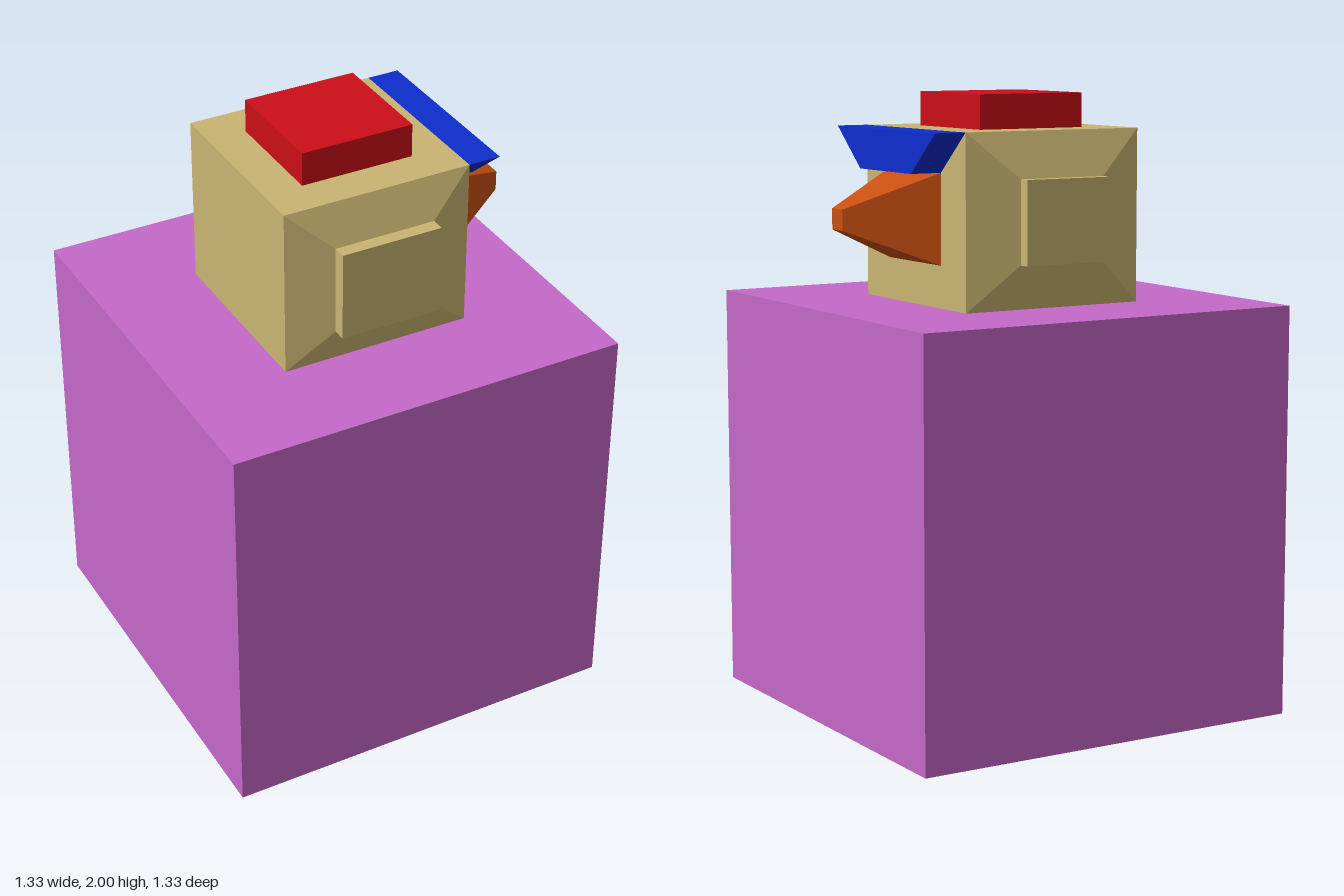
import * as THREE from 'three';

const paint = (color) => new THREE.MeshStandardMaterial({ color, flatShading: true });

function add(parent, name, geometry, material, x = 0, y = 0, z = 0) {
  const mesh = new THREE.Mesh(geometry, material);
  mesh.name = name;
  mesh.position.set(x, y, z);
  parent.add(mesh);
  return mesh;
}

// Box running from z = 0 to z = length, its far end resized to tipW x tipH
function taperedBox(w, h, length, tipW, tipH) {
  const geometry = new THREE.BoxGeometry(w, h, length);
  geometry.translate(0, 0, length / 2);
  const p = geometry.attributes.position;
  for (let i = 0; i < p.count; i++) {
    if (p.getZ(i) > length / 2) {
      p.setXY(i, (Math.sign(p.getX(i)) * tipW) / 2, (Math.sign(p.getY(i)) * tipH) / 2);
    }
  }
  geometry.computeVertexNormals();
  return geometry;
}

export function createModel() {
  const model = new THREE.Group();
  model.name = 'blockBird';
  const purple = paint(0xc468c8);
  const tan = paint(0xc9b471);
  const red = paint(0xcb0e18);
  const blue = paint(0x0e2dce);
  const orange = paint(0xc84f12);

  const bodySize = 1.334;
  const headW = 0.634, headH = 0.556;
  const headY = bodySize + headH / 2;
  const headTop = bodySize + headH;

  // Body and head blocks
  add(model, 'body', new THREE.BoxGeometry(bodySize, bodySize, bodySize), purple, 0, bodySize / 2, 0);
  add(model, 'head', new THREE.BoxGeometry(headW, headH, headW), tan, 0, headY, 0);

  // Bevelled cheeks with a raised pad, the back one slightly smaller
  const cheeks = [
    { name: 'frontCheek', turn: 0, w: 0.338, h: 0.295, rise: 0.048 },
    { name: 'backCheek', turn: Math.PI, w: 0.304, h: 0.266, rise: 0.054 },
  ];
  for (const { name, turn, w, h, rise } of cheeks) {
    const cheek = new THREE.Group();
    cheek.name = name;
    cheek.position.y = headY;
    cheek.rotation.y = turn;
    add(cheek, name + 'Bevel', taperedBox(headW, headH, rise, w, h), tan, 0, 0, headW / 2);
    const padDepth = 0.41 - headW / 2 - rise;
    add(cheek, name + 'Pad', taperedBox(w, h, padDepth, w, h), tan, 0, 0, headW / 2 + rise);
    model.add(cheek);
  }

  // Beak
  const beak = add(model, 'beak', taperedBox(0.33, 0.29, 0.278, 0.068, 0.066), orange, headW / 2, headY + 0.002, 0);
  beak.rotation.y = Math.PI / 2;

  // Brim, a trapezoid narrowing down to the top of the beak
  const outline = new THREE.Shape([
    new THREE.Vector2(-0.165, 1.759),
    new THREE.Vector2(0.165, 1.759),
    new THREE.Vector2(headW / 2, headTop),
    new THREE.Vector2(-headW / 2, headTop),
  ]);
  const brim = add(model, 'brim', new THREE.ExtrudeGeometry(outline, { depth: 0.107, bevelEnabled: false }), blue, headW / 2, 0, 0);
  brim.rotation.y = Math.PI / 2;

  // Cap
  add(model, 'cap', new THREE.BoxGeometry(0.377, 0.11, 0.377), red, 0, headTop + 0.055, 0);

  return model;
}
